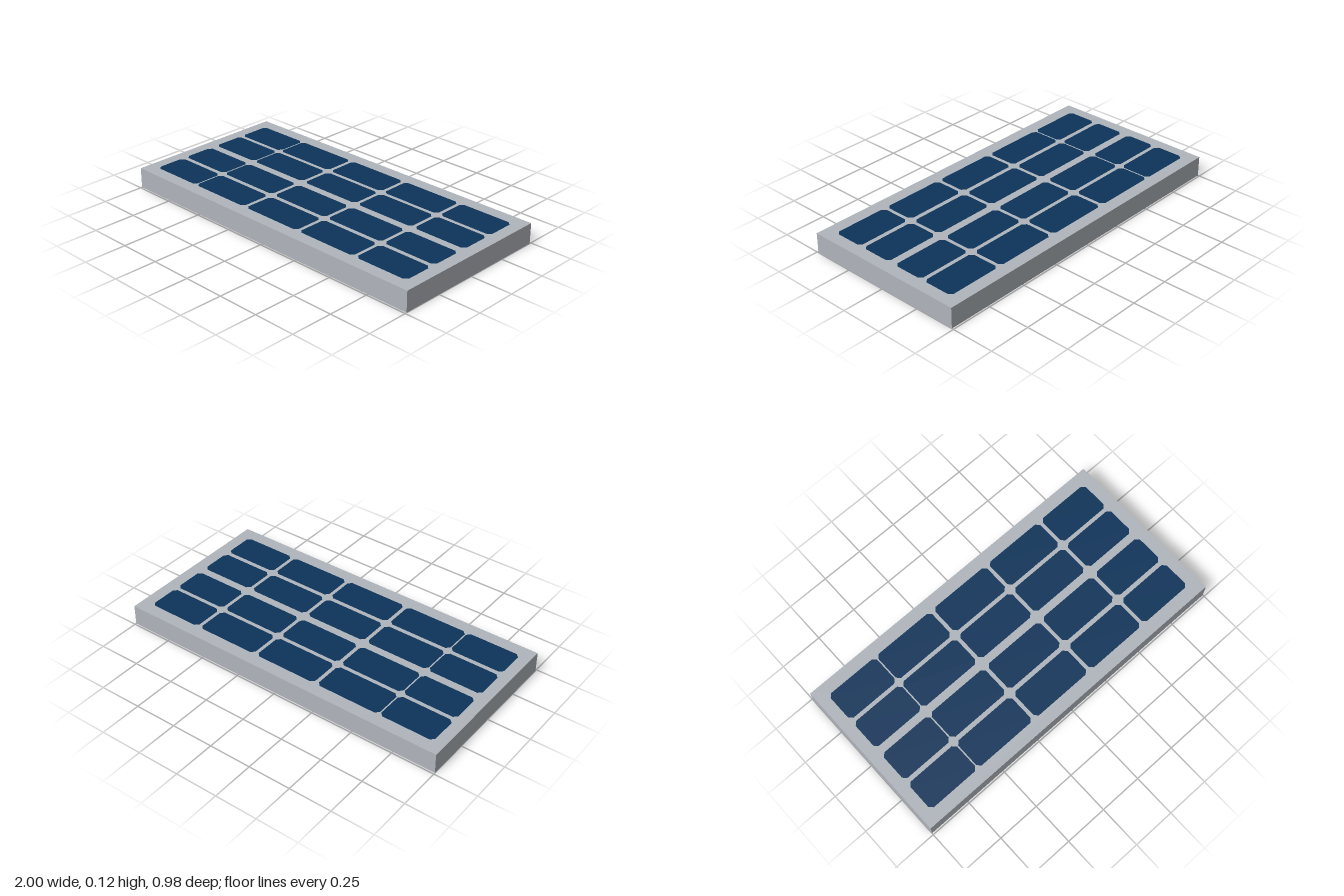
import * as THREE from 'three';

const HALF_X = 1, HALF_Z = 0.49, HEIGHT = 0.12, CUT = 0.02;
const columns = [[-0.935, -0.612], [-0.604, -0.22], [-0.198, 0.182], [0.203, 0.578], [0.599, 0.93]];
const rows = [[-0.417, -0.232], [-0.209, -0.024], [0.022, 0.208], [0.234, 0.417]];

// Outline of one cell with clipped corners
function cellPoints([x0, x1], [z0, z1]) {
  const c = CUT;
  return [
    [x0 + c, z0], [x1 - c, z0], [x1, z0 + c], [x1, z1 - c],
    [x1 - c, z1], [x0 + c, z1], [x0, z1 - c], [x0, z0 + c],
  ].map(([x, z]) => new THREE.Vector2(x, z));
}

// Flat horizontal sheet facing up, lying in the top plane
function sheet(shape, material, name) {
  const geometry = new THREE.ShapeGeometry(shape);
  geometry.rotateX(-Math.PI / 2).translate(0, HEIGHT, 0);
  const mesh = new THREE.Mesh(geometry, material);
  mesh.name = name;
  return mesh;
}

export function createModel() {
  const frameGrey = new THREE.MeshStandardMaterial({ color: 0xb0b5bc, side: THREE.DoubleSide });
  frameGrey.name = 'frame grey';
  const cellBlue = new THREE.MeshStandardMaterial({ color: 0x0d345a, side: THREE.DoubleSide });
  cellBlue.name = 'cell blue';

  const group = new THREE.Group();
  group.name = 'solarPanel';

  // Top sheet with openings, each filled by a cell visible from both sides
  const top = new THREE.Shape([
    new THREE.Vector2(-HALF_X, -HALF_Z), new THREE.Vector2(HALF_X, -HALF_Z),
    new THREE.Vector2(HALF_X, HALF_Z), new THREE.Vector2(-HALF_X, HALF_Z),
  ]);
  const cells = new THREE.Group();
  cells.name = 'cells';
  for (const row of rows) {
    for (const column of columns) {
      // Shape y becomes -z once laid flat
      const points = cellPoints(column, [-row[1], -row[0]]);
      top.holes.push(new THREE.Path(points));
      cells.add(sheet(new THREE.Shape(points), cellBlue, 'cell'));
    }
  }
  group.add(sheet(top, frameGrey, 'topSheet'), cells);

  // Thin side walls, open underneath
  const walls = [
    ['frontWall', 2 * HALF_X, 0, HALF_Z, 0],
    ['backWall', 2 * HALF_X, 0, -HALF_Z, Math.PI],
    ['leftWall', 2 * HALF_Z, HALF_X, 0, Math.PI / 2],
    ['rightWall', 2 * HALF_Z, -HALF_X, 0, -Math.PI / 2],
  ];
  for (const [name, width, x, z, turn] of walls) {
    const wall = new THREE.Mesh(new THREE.PlaneGeometry(width, HEIGHT), frameGrey);
    wall.name = name;
    wall.position.set(x, HEIGHT / 2, z);
    wall.rotation.y = turn;
    group.add(wall);
  }
  return group;
}
